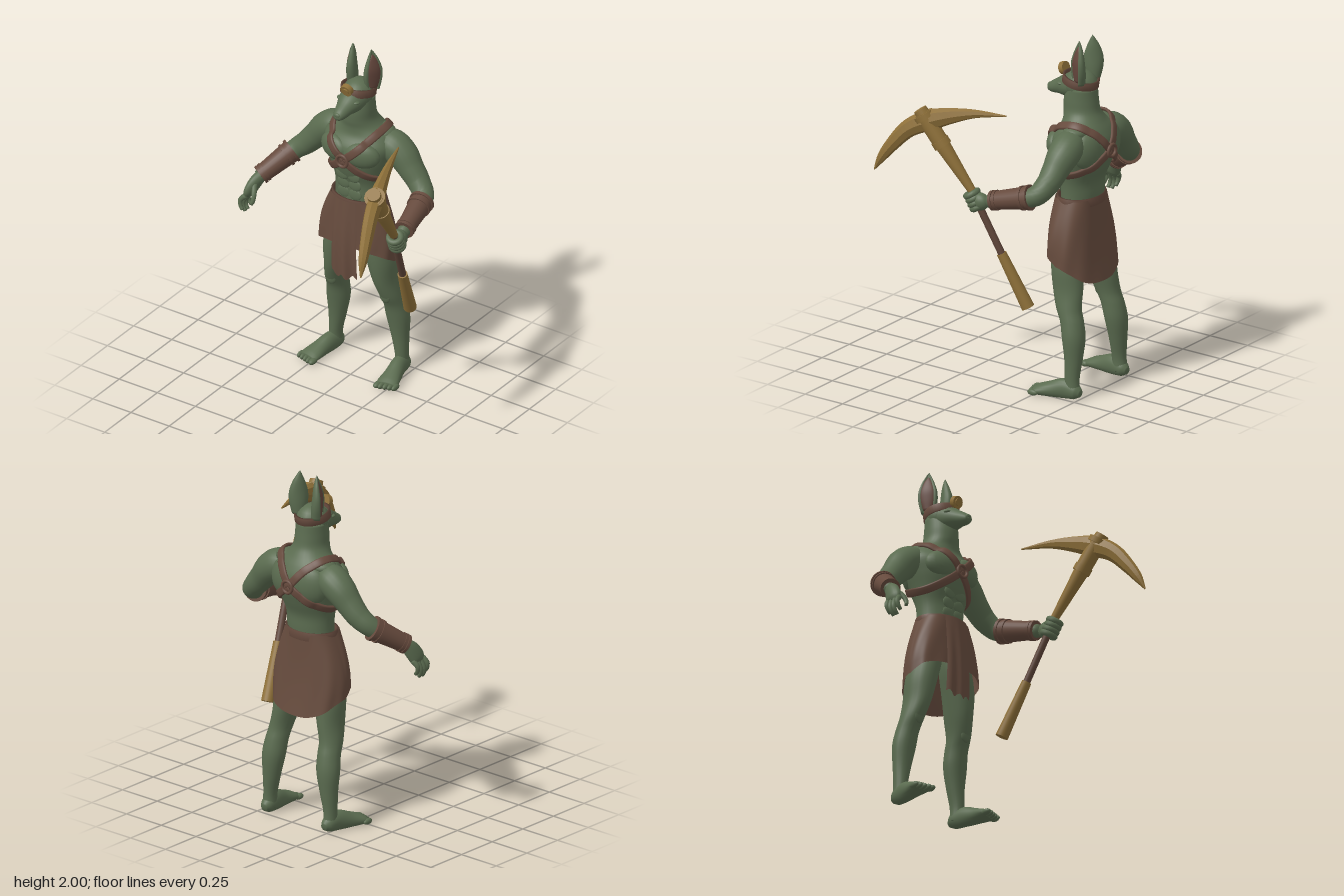
import * as THREE from 'three';
import { ParametricGeometry } from 'three/addons/geometries/ParametricGeometry.js';

const V = (x, y, z) => new THREE.Vector3(x, y, z);
const CX = -0.017; // body centre line
const mat = (name, color, side = THREE.FrontSide) => {
  const m = new THREE.MeshStandardMaterial({ color, side });
  m.name = name;
  return m;
};
const pow = (v, e) => Math.sign(v) * Math.abs(v) ** e;

// Sweeps an ellipse through sections [x, y, z, a, b]; level keeps every ring horizontal.
function loft(sections, { seg = 20, steps = 5, ref = V(0, 1, 0), level = false, shape, flat = false } = {}) {
  const path = new THREE.CatmullRomCurve3(sections.map(s => V(s[0], s[1], s[2])));
  const size = new THREE.CatmullRomCurve3(sections.map(s => V(s[3], s[4], 0)), false, 'catmullrom', 0.5);
  const n = (sections.length - 1) * steps, pos = [], idx = [];
  const down = sections[0][1] > sections[sections.length - 1][1];
  for (let i = 0; i <= n; i++) {
    const t = i / n, p = path.getPoint(t), r = size.getPoint(t);
    const T = level ? V(0, down ? -1 : 1, 0) : path.getTangent(t);
    const R = typeof ref === 'function' ? ref(p) : ref;
    const A = level ? V(1, 0, 0) : R.clone().cross(T).normalize();
    const B = T.clone().cross(A);
    for (let j = 0; j < seg; j++) {
      let c = Math.cos(j / seg * Math.PI * 2), s = Math.sin(j / seg * Math.PI * 2);
      if (shape) [c, s] = shape(c, s);
      const q = p.clone().addScaledVector(A, c * Math.max(r.x, 0.002)).addScaledVector(B, s * Math.max(r.y, 0.002));
      pos.push(q.x, q.y, q.z);
    }
  }
  for (let i = 0; i < n; i++) for (let j = 0; j < seg; j++) {
    const k = (j + 1) % seg, a = i * seg, b = a + seg;
    idx.push(a + j, a + k, b + k, a + j, b + k, b + j);
  }
  for (const [row, t] of [[0, 0], [n, 1]]) {
    const c = pos.length / 3;
    pos.push(...path.getPoint(t).toArray());
    for (let j = 0; j < seg; j++) {
      const a = row * seg + j, b = row * seg + (j + 1) % seg;
      idx.push(c, ...(t ? [a, b] : [b, a]));
    }
  }
  let g = new THREE.BufferGeometry();
  g.setAttribute('position', new THREE.Float32BufferAttribute(pos, 3));
  g.setIndex(idx);
  if (flat) g = g.toNonIndexed();
  g.computeVertexNormals();
  return g;
}
const mirror = list => list.map(([x, ...r]) => [2 * CX - x, ...r]);

export function createModel() {
  const root = new THREE.Group();
  const skin = mat('green skin', 0x5b6c50), leather = mat('brown leather', 0x664a3d);
  const cloth = mat('brown cloth', 0x674c3e, THREE.DoubleSide), gold = mat('dull gold', 0x8e7039);
  const inner = mat('inner ear', 0x64463c), wood = mat('wood', 0x60463a);
  const add = (name, geo, m) => {
    const o = new THREE.Mesh(geo, m);
    o.name = name;
    root.add(o);
    return o;
  };
  const ball = (name, p, r) => {
    const o = add(name, new THREE.SphereGeometry(1, 20, 14), skin);
    o.position.set(...p);
    o.scale.set(...r);
    return o;
  };
  const rod = (name, a, b, ra, rb, m) => {
    const d = b.clone().sub(a);
    const o = add(name, new THREE.CylinderGeometry(rb, ra, d.length(), 24), m);
    o.position.copy(a).addScaledVector(d, 0.5);
    o.quaternion.setFromUnitVectors(V(0, 1, 0), d.normalize());
  };

  // Torso and neck
  const body = [add('torso', loft([
    [CX, 1.0, -0.36, 0.145, 0.1], [CX, 1.12, -0.365, 0.143, 0.105], [CX, 1.2, -0.367, 0.15, 0.108],
    [CX, 1.28, -0.37, 0.172, 0.138], [CX, 1.36, -0.375, 0.198, 0.162], [CX, 1.44, -0.378, 0.215, 0.158],
    [CX, 1.5, -0.385, 0.185, 0.127], [CX, 1.545, -0.375, 0.125, 0.11], [CX, 1.59, -0.36, 0.096, 0.102],
    [CX, 1.65, -0.355, 0.09, 0.097], [CX, 1.72, -0.36, 0.085, 0.085]], { level: true, seg: 32 }), skin)];
  for (const s of [-1, 1]) {
    const chest = ball('pectoral', [CX + s * 0.092, 1.405, -0.256], [0.1, 0.075, 0.048]);
    chest.rotation.y = s * 0.3;
    const blade = ball('shoulderBlade', [CX + s * 0.095, 1.4, -0.47], [0.1, 0.11, 0.058]);
    blade.rotation.y = s * -0.3;
    body.push(chest, blade, ball('trapezius', [CX + s * 0.1, 1.5, -0.405], [0.1, 0.045, 0.075]));
    [[1.135, -0.265], [1.195, -0.263], [1.255, -0.25]].forEach(([y, z]) =>
      ball('abdominal', [CX + s * 0.036, y, z], [0.042, 0.035, 0.009]));
  }

  // Head
  ball('skull', [CX, 1.73, -0.352], [0.088, 0.085, 0.095]);
  add('muzzle', loft([[CX, 1.72, -0.32, 0.08, 0.072], [CX, 1.705, -0.265, 0.07, 0.064], [CX, 1.69, -0.215, 0.05, 0.045],
    [CX, 1.675, -0.17, 0.037, 0.033], [CX, 1.668, -0.145, 0.024, 0.02], [CX, 1.667, -0.138, 0.006, 0.005]]), skin);
  ball('nose', [CX, 1.682, -0.148], [0.02, 0.014, 0.012]);
  const band = (name, rx, rz, h, th, p, tilt) => {
    const pts = [[-th, -h], [th, -h], [th, h], [-th, h], [-th, -h]].map(([r, y]) => new THREE.Vector2(rx + r, y));
    const o = add(name, new THREE.LatheGeometry(pts, 40), leather);
    o.position.set(...p);
    o.scale.z = rz / rx;
    o.rotation.x = tilt;
  };
  band('headband', 0.091, 0.097, 0.021, 0.006, [CX, 1.754, -0.352], -0.18);
  const disc = (name, r, h, y, z) => {
    const o = add(name, new THREE.CylinderGeometry(r, r, h, 24), gold);
    o.position.set(CX, y, z);
    o.rotation.x = Math.PI / 2 + 0.3;
  };
  disc('headbandMedallion', 0.035, 0.028, 1.797, -0.24);
  disc('medallionCentre', 0.02, 0.008, 1.793, -0.224);
  for (const s of [-1, 1]) {
    const f = s < 0 ? l => l : mirror;
    // Cupped ear opening outwards and a little forwards, with a coloured lining
    const axisX = s < 0 ? -0.088 : 2 * CX + 0.088;
    const turn = g => g.translate(-axisX, 0, 0.385).rotateY(-s * 0.5).translate(axisX, 0, -0.385);
    add('ear', turn(loft(f([[-0.084, 1.755, -0.385, 0.036, 0.038], [-0.088, 1.82, -0.385, 0.038, 0.053], [-0.09, 1.88, -0.385, 0.034, 0.053],
      [-0.085, 1.94, -0.385, 0.023, 0.034], [-0.08, 1.985, -0.382, 0.009, 0.011], [-0.079, 2.0, -0.38, 0.002, 0.002]]),
    { level: true, shape: (c, b) => c * s > 0 ? [s * (3.6 * b ** 4 * (1 - b * b) + 0.1 * c * s), b] : [c, b] })), skin);
    add('earLining', turn(loft(f([[-0.096, 1.77, -0.383, 0.01, 0.026], [-0.098, 1.83, -0.384, 0.013, 0.042],
      [-0.099, 1.885, -0.384, 0.012, 0.04], [-0.091, 1.94, -0.384, 0.007, 0.022], [-0.084, 1.97, -0.383, 0.002, 0.003]]), { level: true })), inner);
    ball('brow', [CX + s * 0.05, 1.728, -0.255], [0.022, 0.01, 0.022]);
  }

  // Legs and feet
  for (const s of [-1, 1]) {
    const f = s < 0 ? l => l : mirror;
    add('leg', loft(f([[-0.095, 1.02, -0.358, 0.06, 0.08], [-0.128, 0.86, -0.36, 0.082, 0.094], [-0.158, 0.73, -0.368, 0.08, 0.097],
      [-0.176, 0.6, -0.382, 0.065, 0.09], [-0.196, 0.5, -0.402, 0.061, 0.074], [-0.204, 0.43, -0.428, 0.063, 0.066],
      [-0.212, 0.34, -0.445, 0.066, 0.063], [-0.222, 0.22, -0.451, 0.05, 0.05], [-0.233, 0.11, -0.45, 0.037, 0.042],
      [-0.235, 0.03, -0.455, 0.038, 0.044]]), { level: true }), skin);
    ball('kneecap', [f([[-0.195]])[0][0], 0.52, -0.348], [0.04, 0.06, 0.02]);
    const foot = loft(f([[-0.232, 0.035, -0.505, 0.018, 0.02], [-0.234, 0.042, -0.475, 0.038, 0.044], [-0.242, 0.05, -0.41, 0.042, 0.058],
      [-0.258, 0.036, -0.33, 0.05, 0.045], [-0.27, 0.026, -0.265, 0.06, 0.03], [-0.276, 0.02, -0.235, 0.058, 0.02]]));
    const q = foot.attributes.position;
    for (let i = 0; i < q.count; i++) q.setY(i, Math.max(q.getY(i), 0.002));
    add('foot', foot, skin);
    for (let i = 0; i < 5; i++)
      ball('toe', [f([[-0.229 - i * 0.0245]])[0][0], 0.019, -0.22 - i * 0.008 - (i ? 0 : 0.004)], [i ? 0.014 : 0.019, 0.017, 0.032]);
  }

  // Arms
  const upper = [[-0.13, 1.445, -0.4, 0.065, 0.065], [-0.2, 1.435, -0.405, 0.088, 0.088], [-0.265, 1.395, -0.408, 0.086, 0.086],
    [-0.325, 1.33, -0.402, 0.073, 0.073], [-0.385, 1.265, -0.392, 0.064, 0.064]];
  add('rightArm', loft([...upper, [-0.44, 1.218, -0.368, 0.056, 0.056], [-0.503, 1.15, -0.283, 0.046, 0.046],
    [-0.565, 1.085, -0.195, 0.034, 0.034]]), skin);
  add('leftArm', loft([...mirror(upper), [0.407, 1.21, -0.355, 0.057, 0.056], [0.434, 1.172, -0.215, 0.046, 0.046],
    [0.458, 1.135, -0.08, 0.034, 0.036]]), skin);
  const bracer = (name, a, b) => {
    const at = t => a.clone().lerp(b, t);
    rod(name, a, b, 0.064, 0.049, leather);
    for (const [t, r] of [[0, 0.071], [0.16, 0.068], [0.84, 0.056], [0.93, 0.056]])
      rod(name + 'Rim', at(t), at(t + 0.07), r, r - 0.001, leather);
  };
  bracer('rightBracer', V(-0.455, 1.208, -0.36), V(-0.558, 1.093, -0.2));
  bracer('leftBracer', V(0.415, 1.2, -0.33), V(0.454, 1.143, -0.1));

  // Open right hand
  const finger = (name, pts) => add(name, loft(pts.map(([x, y, z], i) => [x, y, z, 0.016 - i * 0.002, 0.016 - i * 0.002]),
    { ref: V(1, 0, 0), seg: 10, steps: 4 }), skin);
  add('rightPalm', loft([[-0.55, 1.1, -0.21, 0.032, 0.032], [-0.57, 1.06, -0.175, 0.047, 0.032], [-0.588, 1.01, -0.147, 0.05, 0.027],
    [-0.593, 0.985, -0.14, 0.038, 0.016]], { ref: V(1, 0, 0) }), skin);
  for (let i = 0; i < 4; i++) {
    const z = -0.182 + i * 0.026, y = i === 1 || i === 2 ? -0.01 : 0.01;
    finger('rightFinger', [[-0.59, 1.0, z], [-0.614, 0.96 + y, z + 0.01], [-0.61, 0.93 + y, z + 0.015], [-0.595, 0.908 + y, z + 0.018]]);
  }
  finger('rightThumb', [[-0.56, 1.06, -0.15], [-0.54, 1.02, -0.115], [-0.537, 0.985, -0.1], [-0.545, 0.965, -0.095]]);

  // Left fist closed round the handle
  const grasp = V(0.472, 1.13, 0.0), axis = V(0.12, 0.88, 0.47).normalize();
  ball('leftFist', [0.47, 1.128, -0.03], [0.042, 0.05, 0.058]);
  for (let i = 0; i < 4; i++) {
    const o = add('leftFinger', new THREE.TorusGeometry(0.033, 0.018, 10, 20), skin);
    o.position.copy(grasp).addScaledVector(axis, (i - 1.5) * 0.026);
    o.quaternion.setFromUnitVectors(V(0, 0, 1), axis);
  }

  // Pickaxe
  const shaft = [V(0.37, 0.54, -0.28), V(0.418, 0.835, -0.138), V(0.471, 1.18, 0.022), V(0.51, 1.43, 0.2), V(0.54, 1.592, 0.308)];
  rod('pickGrip', shaft[0], shaft[1], 0.036, 0.027, gold);
  rod('pickHandle', shaft[1], shaft[2], 0.02, 0.02, wood);
  rod('pickSocket', shaft[2], shaft[3], 0.023, 0.043, gold);
  const neck = t => shaft[3].clone().lerp(shaft[4], t);
  rod('pickCollar', neck(-0.12), neck(0.08), 0.05, 0.05, gold);
  rod('pickHub', neck(0), neck(0.95), 0.045, 0.047, gold);
  rod('pickCap', neck(0.78), neck(0.93), 0.058, 0.058, gold);
  rod('pickCapTop', neck(0.9), neck(1.08), 0.04, 0.037, gold);
  add('pickBlade', loft([[-0.146, 1.62, 0.004, 0.004], [0.03, 1.612, 0.026, 0.021], [0.165, 1.582, 0.047, 0.034], [0.265, 1.548, 0.06, 0.044],
    [0.375, 1.488, 0.05, 0.04], [0.465, 1.385, 0.038, 0.033], [0.52, 1.305, 0.026, 0.024], [0.56, 1.23, 0.004, 0.004]]
    .map(([z, y, h, t]) => [0.436 + 0.338 * z, y, z, h, t]), { ref: V(0.947, 0, -0.32), seg: 8, flat: true }), gold);

  // Chest harness, laid onto the torso
  const mid = V(CX, 1.37, -0.37), ray = new THREE.Raycaster();
  root.updateMatrixWorld(true);
  const onBody = p => {
    const d = p.clone().sub(mid).normalize();
    ray.set(mid.clone().add(d), d.clone().negate());
    return ray.intersectObjects(body)[0].point.clone().addScaledVector(d, 0.006);
  };
  const paths = [
    [[CX, 1.37, -0.19], [-0.1, 1.45, -0.22], [-0.165, 1.53, -0.32], [-0.165, 1.54, -0.41], [-0.1, 1.49, -0.51], [CX, 1.39, -0.55]],
    [[CX, 1.37, -0.19], [-0.1, 1.3, -0.21], [-0.18, 1.245, -0.3], [-0.195, 1.25, -0.4], [-0.12, 1.31, -0.5], [CX, 1.39, -0.55]]];
  for (const path of paths) for (const f of [l => l, mirror]) {
    const curve = new THREE.CatmullRomCurve3(f(path).map(p => V(...p)));
    const pts = curve.getSpacedPoints(28).map(onBody);
    add('harnessStrap', loft(pts.map(p => [...p.toArray(), 0.023, 0.009]), { seg: 12, steps: 2,
      ref: p => p.clone().sub(mid), shape: (c, s) => [pow(c, 0.6), pow(s, 0.6)] }), leather);
  }
  for (const [y, z] of [[1.37, -0.19], [1.39, -0.55]]) {
    const o = add('harnessRing', new THREE.TorusGeometry(0.034, 0.009, 10, 28), leather);
    o.position.copy(onBody(V(CX, y, z)));
    o.position.z += Math.sign(z - mid.z) * 0.014;
  }

  // Wrapped skirt with a hem that falls to a point behind
  add('skirt', new ParametricGeometry((u, v, out) => {
    const a = u * Math.PI * 2, f = pow(Math.cos(a), 0.75), sd = pow(Math.sin(a), 0.75);
    const hem = f > 0 ? 0.74 + 0.075 * f : 0.74 - 0.11 * f * f;
    const fold = 1 + 0.014 * v * Math.sin(a * 9 + v * 4);
    const rx = 0.152 + 0.084 * Math.sin(Math.min(v * 1.15, 1) * Math.PI / 2);
    const rz = 0.113 + 0.008 * v;
    out.set(CX + rx * fold * sd, 1.1 + (hem - 1.1) * v, -0.353 + rz * fold * f - (f < 0 ? 0.034 * v * v * f * f : 0));
  }, 96, 16), cloth);
  band('waistBand', 0.153, 0.114, 0.024, 0.007, [CX, 1.085, -0.355], 0);
  add('frontCloth', new ParametricGeometry((u, v, out) => {
    const x = (u - 0.5) * (0.15 + 0.02 * v), hem = 0.645 + 0.012 * Math.sin(u * 17) - 0.015 * Math.sin(u * Math.PI);
    out.set(CX - 0.005 + x, 1.1 + (hem - 1.1) * v, -0.226 + 0.025 * Math.sin(v * 2.2) - 3 * x * x + 0.006 * v * Math.sin(u * 14));
  }, 24, 16), cloth);
  return root;
}
